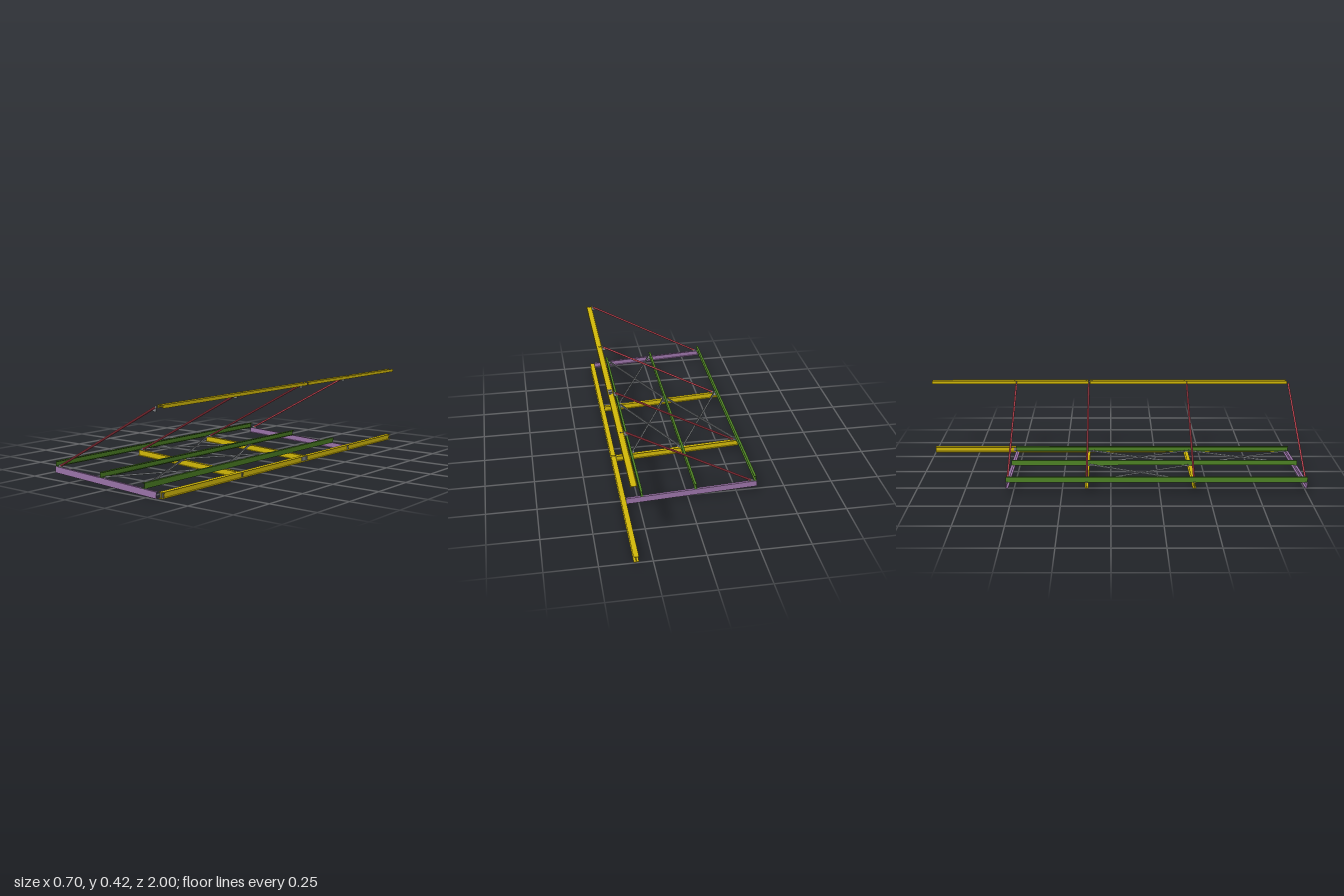
import * as THREE from 'three';

const mat = (color) => new THREE.MeshStandardMaterial({ color, flatShading: true, side: THREE.DoubleSide });
const V = (x, y, z) => new THREE.Vector3(x, y, z);

// Section outlines, centred on the origin
const iSection = (w, h, t) => [
  [-w / 2, -h / 2], [w / 2, -h / 2], [w / 2, -h / 2 + t], [t / 2, -h / 2 + t], [t / 2, h / 2 - t], [w / 2, h / 2 - t],
  [w / 2, h / 2], [-w / 2, h / 2], [-w / 2, h / 2 - t], [-t / 2, h / 2 - t], [-t / 2, -h / 2 + t], [-w / 2, -h / 2 + t]];
const cSection = (w, h, t) => [
  [-w / 2, -h / 2], [w / 2, -h / 2], [w / 2, -h / 2 + t], [-w / 2 + t, -h / 2 + t],
  [-w / 2 + t, h / 2 - t], [w / 2, h / 2 - t], [w / 2, h / 2], [-w / 2, h / 2]];
// Channel with small turned-in lips
const lipped = (w, h, t, l) => [
  [-w / 2, 0], [w / 2, 0], [w / 2, l], [w / 2 - t, l], [w / 2 - t, t], [-w / 2 + t, t],
  [-w / 2 + t, h - t], [w / 2 - t, h - t], [w / 2 - t, h - l], [w / 2, h - l], [w / 2, h], [-w / 2, h]];
const angle = (s, t) => [[-s / 2, 0], [s / 2, 0], [s / 2, t], [-s / 2 + t, t], [-s / 2 + t, s], [-s / 2, s]];
const mirror = (pts) => pts.map(([x, y]) => [-x, y]);
const toShape = (pts) => new THREE.Shape(pts.map(([x, y]) => new THREE.Vector2(x, y)));

export function createModel() {
  const model = new THREE.Group();
  const yellow = mat(0xd2b808), purple = mat(0x9a73a8), green = mat(0x4c8024);
  const red = mat(0xcc4a58), grey = mat(0x808488);

  const add = (name, geo, material) => {
    const mesh = new THREE.Mesh(geo, material);
    mesh.name = name;
    model.add(mesh);
    return mesh;
  };
  // Bar of constant section from a to b
  const bar = (name, section, a, b, up, material) => {
    const dir = b.clone().sub(a), length = dir.length();
    dir.normalize();
    const side = up.clone().cross(dir).normalize();
    const geo = new THREE.ExtrudeGeometry(toShape(section), { depth: length, bevelEnabled: false });
    geo.applyMatrix4(new THREE.Matrix4().makeBasis(side, dir.clone().cross(side), dir).setPosition(a));
    return add(name, geo, material);
  };
  const box = (name, w, h, d, x, y, z, material = grey, tilt = 0) => {
    const mesh = add(name, new THREE.BoxGeometry(w, h, d), material);
    mesh.position.set(x, y, z);
    mesh.rotation.z = tilt;
  };
  const plate = (name, pts, z, t) => {
    const geo = new THREE.ExtrudeGeometry(toShape(pts), { depth: t, bevelEnabled: false });
    add(name, geo.translate(0, 0, z - t / 2), grey);
  };
  // Bolt shank with a hexagonal head and nut
  const bolt = (x, y, z, alongX) => {
    const g = new THREE.Group();
    g.name = 'bolt';
    for (const [r, h, o] of [[0.0012, 0.016, 0], [0.0024, 0.003, 0.004], [0.0024, 0.003, -0.004]]) {
      const part = new THREE.Mesh(new THREE.CylinderGeometry(r, r, h, 6), grey);
      part.position.y = o;
      g.add(part);
    }
    g.position.set(x, y, z);
    if (alongX) g.rotation.z = Math.PI / 2;
    model.add(g);
  };

  const slope = 0.0513, tilt = -Math.atan(slope);
  const roofUp = V(slope, 1, 0).normalize(), worldUp = V(0, 1, 0);
  const roofY = (x) => 0.0335 + (0.315 - x) * slope; // top of the rafters
  const frames = [0.991, 0.424, -0.123, -0.527];
  const split = -0.121, gap = 0.004;

  // Long beams, each in two lengths with a joint between
  const lower = iSection(0.025, 0.03, 0.0025);
  const upper = iSection(0.016, 0.03, 0.0022);
  for (const [z0, z1] of [[-1, split - gap], [split + gap, 0.985]]) {
    bar('lowerBeam', lower, V(0.3275, 0.018, z0), V(0.3275, 0.018, z1), worldUp, yellow);
    bar('upperBeam', upper, V(0.332, 0.4145, z0), V(0.332, 0.4145, z1), V(1, 0, 0), yellow);
  }
  for (const s of [-1, 1]) {
    box('lowerSplicePlate', 0.0015, 0.022, 0.05, 0.3275 + s * 0.002, 0.018, split);
    box('upperSplicePlate', 0.02, 0.0015, 0.05, 0.332, 0.4145 + s * 0.0018, split);
    for (const x of [0.3275, 0.3365]) bolt(x, 0.4145, split + s * 0.015, false);
  }

  frames.forEach((z, i) => {
    // Rafters: channels at the two ends, beams between
    const outer = i === 0 || i === 3;
    let section = outer ? cSection(0.013, 0.031, 0.002) : iSection(0.018, 0.031, 0.0025);
    if (i === 3) section = mirror(section);
    bar(outer ? 'endRafter' : 'middleRafter', section,
      V(-0.348, roofY(-0.348) - 0.0155, z), V(0.313, roofY(0.313) - 0.0155, z), worldUp, outer ? purple : yellow);

    // Tie rod with its lower and upper gussets
    const rod = add('tieRod', new THREE.CylinderGeometry(0.0052, 0.0052, 0.708, 10), red);
    const a = V(-0.316, 0.073, z), b = V(0.306, 0.409, z);
    rod.position.copy(a).add(b).multiplyScalar(0.5);
    rod.quaternion.setFromUnitVectors(worldUp, b.sub(a).normalize());
    plate('lowerGusset', [[-0.334, 0.066], [-0.303, 0.064], [-0.304, 0.077], [-0.309, 0.086], [-0.333, 0.073]], z, 0.003);
    plate('upperGusset', [[0.289, 0.398], [0.296, 0.39], [0.313, 0.39], [0.313, 0.407], [0.318, 0.409],
      [0.318, 0.421], [0.313, 0.419]], z, 0.003);

    // Cleat joining the rafter to the lower beam
    const zc = z - (i === 0 ? 0.015 : 0.011);
    box('cleatPlate', 0.022, outer ? 0.027 : 0.033, 0.002, 0.324, outer ? 0.018 : 0.0165, zc);
    box('cleatLeg', 0.0015, 0.024, 0.016, 0.3255, 0.018, zc - 0.007);
    for (const y of [0.01, 0.018, 0.026]) bolt(0.3275, y, zc - 0.007, true);
    for (const x of [0.324, 0.332]) bolt(x, 0.4145, z - 0.012, false);
  });

  // Purlins lying across the rafters
  const purlin = lipped(0.012, 0.027, 0.0016, 0.004);
  for (const [x, section] of [[-0.341, purlin], [-0.038, purlin], [0.234, mirror(purlin)]]) {
    bar('purlin', section, V(x, roofY(x), -0.532), V(x, roofY(x), 0.996), roofUp, green);
    for (const z of frames) box('purlinCleat', 0.02, 0.0015, 0.014, x, roofY(x) + 0.0005, z, grey, tilt);
  }

  // Crossed braces with corner plates
  const bays = [[-0.33, -0.05, -0.112, 0.412], [-0.028, 0.224, -0.112, 0.412], [-0.028, 0.224, 0.436, 0.98]];
  for (const [x0, x1, z0, z1] of bays) {
    for (const [za, zb, lift] of [[z0, z1, 0], [z1, z0, 0.001]]) {
      bar('crossBrace', angle(0.0085, 0.0018), V(x0, roofY(x0) + lift, za), V(x1, roofY(x1) + lift, zb), roofUp, grey);
    }
    for (const x of [x0, x1]) for (const z of [z0, z1]) {
      const s = z === z0 ? 1 : -1;
      box('bracePlate', 0.022, 0.0015, 0.034, x, roofY(x), z + s * 0.01, grey, tilt);
    }
  }
  return model;
}
